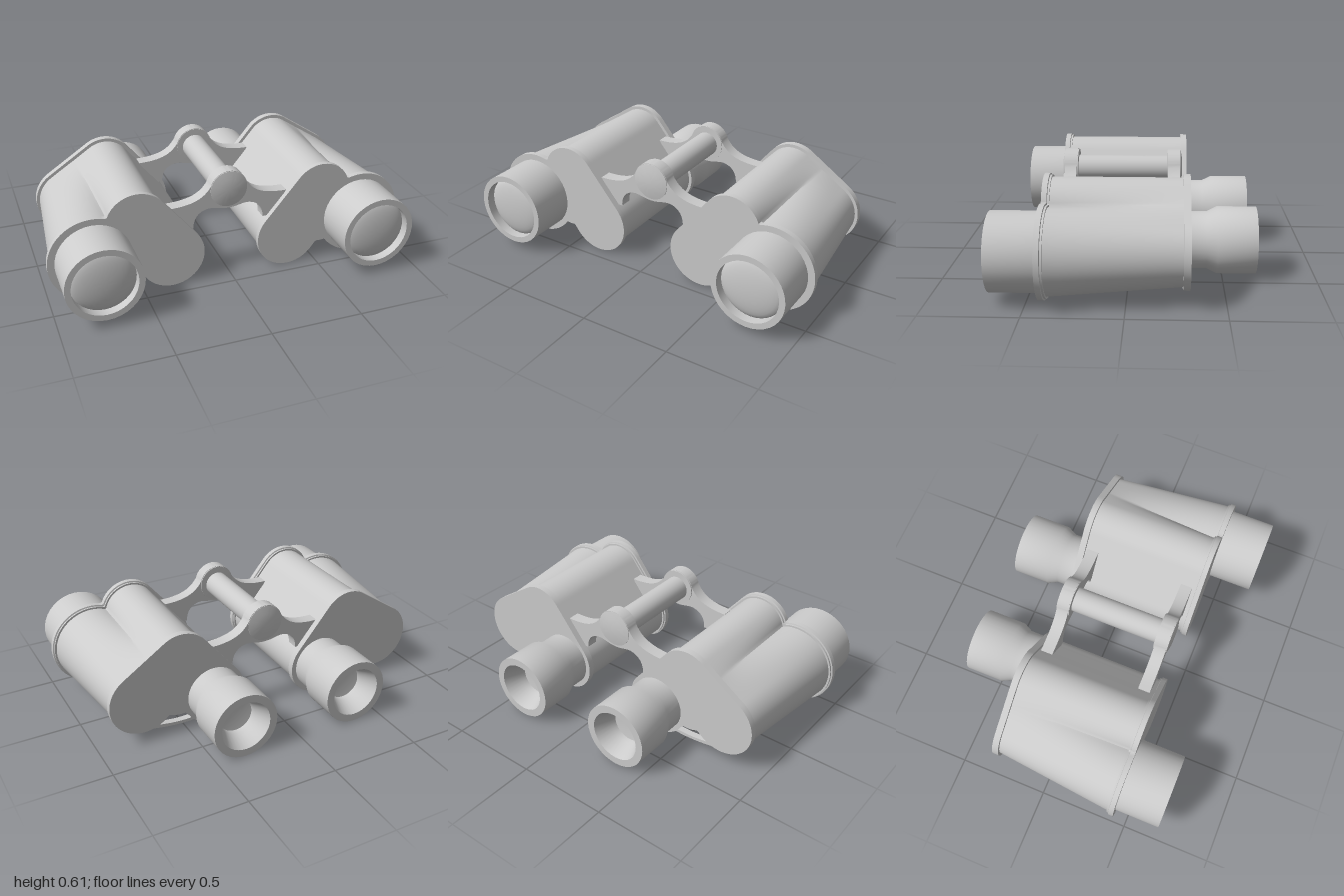
import * as THREE from 'three';
import { toCreasedNormals } from 'three/addons/utils/BufferGeometryUtils.js';

const material = new THREE.MeshStandardMaterial({ color: 0xcccccc });
const CORE = [0.55, 0.28]; // every housing section is star-shaped about this point
const STEPS = 144;

function part(name, geometry, x = 0, y = 0, z = 0) {
  const mesh = new THREE.Mesh(toCreasedNormals(geometry, 0.5), material);
  mesh.name = name;
  mesh.position.set(x, y, z);
  return mesh;
}

// Turned part along z; profile is [radius, z], outer wall running towards +z
function turned(name, profile, x, y, segments = 36) {
  const geo = new THREE.LatheGeometry(profile.map(([r, z]) => new THREE.Vector2(r, z)), segments);
  geo.rotateX(Math.PI / 2);
  return part(name, geo, x, y);
}

// Circles [x, y, r] filling the hull of two circles
function hull(a, b, n = 24) {
  return Array.from({ length: n + 1 }, (_, i) => a.map((v, k) => v + (b[k] - v) * i / n));
}

// Housing section: outline of a union of circles, shrunk by inset
function section(atFront, inset) {
  const ocular = [0.335, 0.18, 0.18];
  const prism = [0.52, 0.42, 0.17];
  const objective = atFront ? [0.76, 0.25, 0.24] : [0.745, 0.25, 0.187];
  const circles = [...hull(ocular, prism), [0.53, 0.27, 0.16], objective];
  if (!atFront) circles.push(...hull(prism, objective));
  return Array.from({ length: STEPS }, (_, i) => {
    const t = i / STEPS * Math.PI * 2, dx = Math.cos(t), dy = Math.sin(t);
    let reach = 0;
    for (const [cx, cy, r] of circles) {
      const ox = cx - CORE[0], oy = cy - CORE[1];
      const along = ox * dx + oy * dy;
      const root = (r - inset) ** 2 - (ox * ox + oy * oy - along * along);
      if (root >= 0) reach = Math.max(reach, along + Math.sqrt(root));
    }
    return [CORE[0] + dx * reach, CORE[1] + dy * reach];
  });
}

// Capped loft through rings { pts, z } from front to back, mirrored for side = -1
function loft(name, rings, side) {
  const pos = [], index = [];
  const tri = (a, b, c) => (side > 0 ? index.push(a, b, c) : index.push(a, c, b));
  for (const { pts, z } of rings) for (const [x, y] of pts) pos.push(side * x, y, z);
  const last = (rings.length - 1) * STEPS, front = rings.length * STEPS;
  pos.push(side * CORE[0], CORE[1], rings[0].z);
  pos.push(side * CORE[0], CORE[1], rings[rings.length - 1].z);
  for (let j = 0; j < STEPS; j++) {
    const k = (j + 1) % STEPS;
    for (let o = 0; o < last; o += STEPS) {
      tri(o + j, o + STEPS + j, o + k);
      tri(o + k, o + STEPS + j, o + STEPS + k);
    }
    tri(front, j, k);
    tri(front + 1, last + k, last + j);
  }
  const geo = new THREE.BufferGeometry();
  geo.setAttribute('position', new THREE.Float32BufferAttribute(pos, 3));
  geo.setIndex(index);
  return part(name, geo, 0, 0, 0);
}

function barrel(side) {
  const group = new THREE.Group();
  group.name = side > 0 ? 'leftBarrel' : 'rightBarrel';

  // Prism housing tapering towards the back, with a cover plate at each end
  const f = section(true, 0.018), b = section(false, 0.018);
  const mix = (t) => f.map(([x, y], i) => [x + (b[i][0] - x) * t, y + (b[i][1] - y) * t]);
  const rings = Array.from({ length: 9 }, (_, i) => ({ pts: mix(i / 8), z: 0.4 - i / 8 * 0.69 }));
  group.add(loft('prismHousing', rings, side));
  const rim = section(true, 0), lip = section(true, 0.008), back = section(false, 0);
  group.add(loft('frontPlate', [
    { pts: rim, z: 0.43 }, { pts: rim, z: 0.402 }, { pts: lip, z: 0.4 }, { pts: lip, z: 0.39 },
  ], side));
  group.add(loft('backPlate', [{ pts: back, z: -0.282 }, { pts: back, z: -0.318 }], side));

  // Thin strap loop under the back plate
  const strap = new THREE.Shape();
  strap.moveTo(side * 0.44, 0.055);
  strap.quadraticCurveTo(side * 0.55, 0.04, side * 0.73, 0.075);
  strap.lineTo(side * 0.72, 0.095);
  strap.quadraticCurveTo(side * 0.55, 0.055, side * 0.44, 0.075);
  group.add(part('strapLoop', new THREE.ExtrudeGeometry(strap,
    { depth: 0.036, bevelEnabled: false, curveSegments: 10 }), 0, 0, -0.318));

  // Objective tube with recessed domed lens
  group.add(turned('objectiveTube', [
    [0.205, 0.42], [0.205, 0.68], [0.172, 0.68], [0.172, 0.62],
  ], side * 0.757, 0.25));
  const dome = Array.from({ length: 9 }, (_, i) => {
    const t = i / 8 * Math.PI / 2;
    return [0.174 * Math.cos(t), 0.625 + 0.04 * Math.sin(t)];
  });
  group.add(turned('objectiveLens', dome, side * 0.757, 0.25));

  // Eyepiece with flared, hollow eyecup
  group.add(turned('eyepiece', [
    [0, -0.55], [0.095, -0.56], [0.1, -0.585], [0.14, -0.68], [0.182, -0.68],
    [0.182, -0.47], [0.155, -0.415], [0.155, -0.3],
  ], side * 0.337, 0.185));
  return group;
}

// Hinge bracket: round boss with an arm sweeping into each housing
function bracket(name, z) {
  const s = new THREE.Shape();
  s.moveTo(0, 0.39);
  s.bezierCurveTo(0.05, 0.39, 0.07, 0.405, 0.11, 0.405);
  s.bezierCurveTo(0.16, 0.4, 0.2, 0.37, 0.2, 0.3);
  s.lineTo(0.26, 0.3);
  s.lineTo(0.335, 0.44);
  s.bezierCurveTo(0.2, 0.44, 0.14, 0.47, 0.1, 0.535);
  s.absarc(0, 0.505, 0.105, 0.29, Math.PI - 0.29, false);
  s.bezierCurveTo(-0.14, 0.47, -0.2, 0.44, -0.335, 0.44);
  s.lineTo(-0.26, 0.3);
  s.lineTo(-0.2, 0.3);
  s.bezierCurveTo(-0.2, 0.37, -0.16, 0.4, -0.11, 0.405);
  s.bezierCurveTo(-0.07, 0.405, -0.05, 0.39, 0, 0.39);
  return part(name, new THREE.ExtrudeGeometry(s,
    { depth: 0.068, bevelEnabled: false, curveSegments: 16 }), 0, 0, z);
}

export function createModel() {
  const model = new THREE.Group();
  model.name = 'binoculars';
  model.add(barrel(1), barrel(-1));

  const hinge = new THREE.Group();
  hinge.name = 'hinge';
  hinge.add(bracket('frontBracket', 0.308), bracket('backBracket', -0.272));
  hinge.add(turned('hingeAxle', [[0.07, -0.25], [0.07, 0.34]], 0, 0.502, 28));
  // Shallow domed caps on both bosses
  hinge.add(turned('frontCap', [[0, 0.3], [0.103, 0.302], [0.103, 0.38], [0.06, 0.389], [0, 0.392]], 0, 0.505));
  hinge.add(turned('backCap', [[0, -0.286], [0.06, -0.283], [0.103, -0.275], [0.103, -0.2], [0, -0.198]], 0, 0.505));
  model.add(hinge);
  return model;
}
